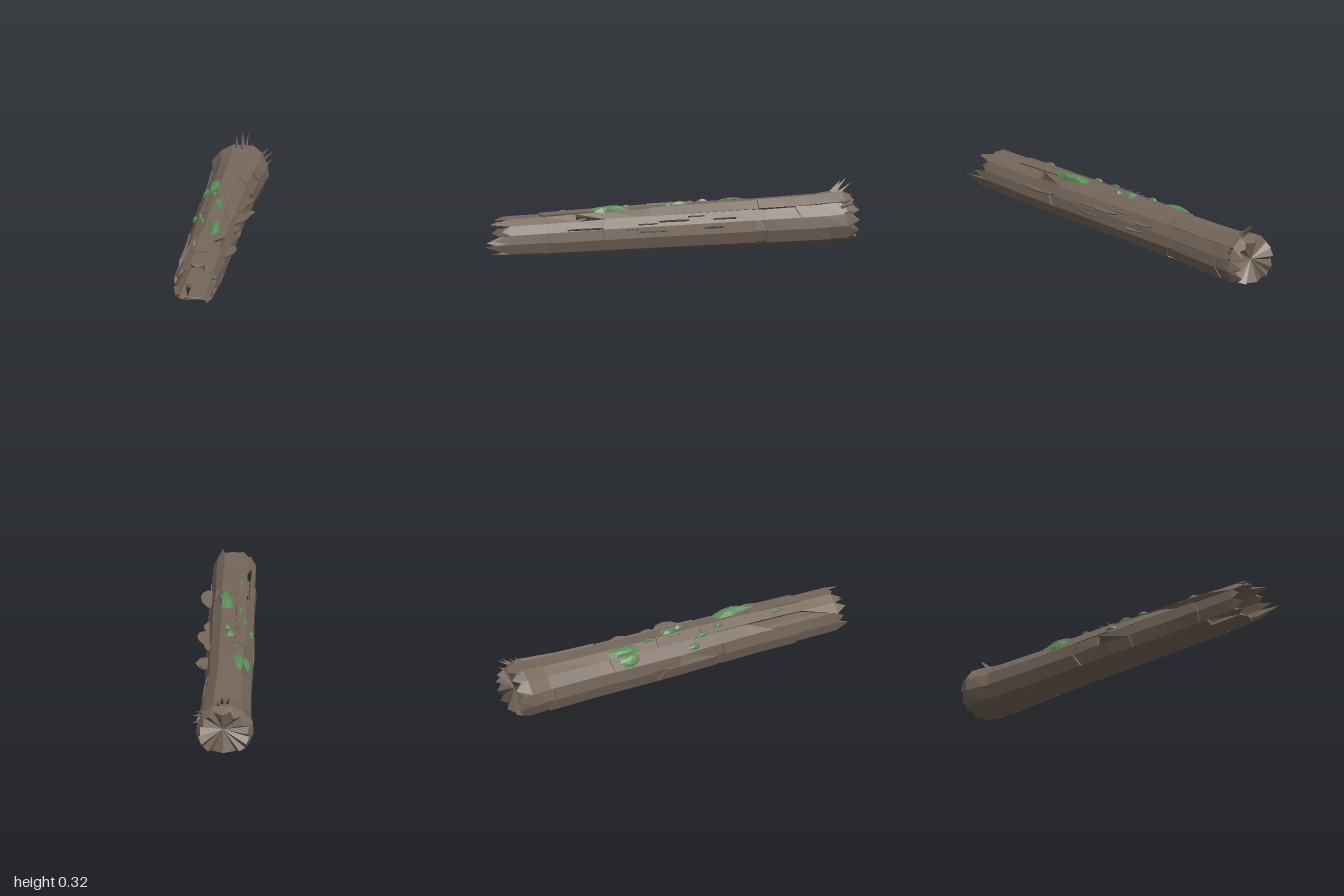
import * as THREE from 'three';

// Normalised log cross-section: u across (-1..1), v up (0..1), counter-clockwise from the front
const PROFILE = [[-.83, .08], [-.46, 0], [.46, 0], [.83, .1], [1, .36], [.95, .6],
  [.76, .83], [.42, .99], [-.25, 1], [-.66, .87], [-.97, .63], [-1, .36]];
const N = PROFILE.length;
// Stations along the log: z, left x, right x, height
const STATIONS = [[-1, -.14, .125, .235], [-.93, -.162, .135, .253], [-.8, -.142, .118, .236], [-.5, -.132, .1, .226],
  [0, -.135, .1, .217], [.4, -.122, .098, .21], [.67, -.125, .1, .2], [1, -.128, .1, .193]];
const ROWS = [-.92, -.8, -.5, -.25, -.05, .15, .35, .5, .67, .86];

// Point on the log: a = position round the section, z = along, off = distance off the surface
function at(a, z, off = 0) {
  a = ((a % N) + N) % N;
  let i = 0;
  while (i < STATIONS.length - 2 && z > STATIONS[i + 1][0]) i++;
  const s = STATIONS[i], e = STATIONS[i + 1];
  const t = THREE.MathUtils.clamp((z - s[0]) / (e[0] - s[0]), 0, 1);
  const [l, r, h] = [1, 2, 3].map(k => s[k] + (e[k] - s[k]) * t);
  const p = PROFILE[Math.floor(a)], q = PROFILE[(Math.floor(a) + 1) % N], f = a % 1;
  const cx = (l + r) / 2;
  const x = cx + (p[0] + (q[0] - p[0]) * f) * (r - l) / 2;
  const y = (p[1] + (q[1] - p[1]) * f) * h;
  const d = new THREE.Vector2(x - cx, y - h / 2).normalize().multiplyScalar(off);
  return new THREE.Vector3(x + d.x, Math.max(0, y + d.y), z);
}

const noise = n => { const s = Math.sin(n * 127.1) * 43758.5; return s - Math.floor(s); };

// Collects triangles and quads into one faceted mesh
class Faces {
  constructor() { this.p = []; }
  tri(...v) { v.forEach(q => this.p.push(q.x, q.y, q.z)); }
  quad(a, b, c, d) { this.tri(a, b, c); this.tri(a, c, d); }
  mesh(name, material) {
    const g = new THREE.BufferGeometry();
    g.setAttribute('position', new THREE.Float32BufferAttribute(this.p, 3));
    g.computeVertexNormals();
    const m = new THREE.Mesh(g, material);
    m.name = name;
    return m;
  }
}

export function createModel() {
  const log = new THREE.Group();
  log.name = 'hollowLog';
  const bark = new THREE.MeshStandardMaterial({ color: 0x76675b, flatShading: true, side: THREE.DoubleSide });
  bark.name = 'bark brown';
  const green = new THREE.MeshStandardMaterial({ color: 0x5c8c57, flatShading: true, side: THREE.DoubleSide });
  green.name = 'moss green';

  // Hollow trunk: outer and inner walls; missing triangles are rot holes (1 first, 2 second, 3 both)
  const holes = { '9,6': 2, '9,7': 3, '9,8': 1, '10,4': 1, '10,5': 2, '5,5': 1, '6,6': 2, '0,8': 1 };
  const trunk = new Faces(), edges = new Map();
  const outer = (k, r) => at(k, ROWS[r], (noise((k % N) + r * 13) - .5) * .006);
  const inner = (k, r) => at(k, ROWS[r], -.02);
  for (let k = 0; k < N; k++) {
    for (let r = 0; r < ROWS.length - 1; r++) {
      const corners = [[k, r], [k + 1, r], [k + 1, r + 1], [k, r + 1]];
      [[0, 1, 2], [0, 2, 3]].forEach((ids, n) => {
        const t = ids.map(i => corners[i]);
        if ((holes[`${k},${r}`] || 0) & (n + 1)) {
          t.forEach((c, i) => {
            const e = [c, t[(i + 1) % 3]], key = e.map(v => v.join()).sort().join('|');
            if (edges.has(key)) edges.delete(key); else edges.set(key, e);
          });
        } else {
          trunk.tri(...t.map(c => outer(...c)));
          trunk.tri(...t.map(c => inner(...c)).reverse());
        }
      });
    }
  }
  // Wall thickness round the holes
  for (const [p, q] of edges.values()) trunk.quad(outer(...p), outer(...q), inner(...q), inner(...p));
  log.add(trunk.mesh('trunk', bark));

  // Jagged teeth at the broken front
  const teeth = new Faces(), last = ROWS.length - 1;
  const tips = [.9, .87, .95, 1, .95, .9, .95, .89, .91, .92, .9, .93];
  tips.forEach((z, k) => {
    const tip = at(k + (k === 3 ? .8 : .5), z, -.01);
    const [a, b, c, d] = [outer(k, last), outer(k + 1, last), inner(k + 1, last), inner(k, last)];
    teeth.tri(a, b, tip); teeth.tri(c, d, tip); teeth.tri(b, c, tip); teeth.tri(d, a, tip);
  });
  log.add(teeth.mesh('frontTeeth', bark));

  // Broken back end: notched rim and a ridged fan closing the trunk
  const back = new Faces(), hub = new THREE.Vector3(-.005, .128, -.945);
  for (let k = 0; k < N; k++) {
    const v0 = at(k, -.955, -.012), v1 = at(k + 1, -.955, -.012);
    const tip = at(k + .5, -1 + noise(k + 4) * .025, -.012);
    const o0 = outer(k, 0), o1 = outer(k + 1, 0);
    back.tri(o1, o0, tip); back.tri(o0, v0, tip); back.tri(v1, o1, tip);
    back.tri(v0, hub, tip); back.tri(tip, hub, v1);
  }
  log.add(back.mesh('brokenBack', bark));

  // Raised bark plates: [a start, columns, z start, z end, lift at start, lift at end]
  const plates = [
    [2, 2, -.45, .66, .005, .005], [4, 1, .38, .66, .007, .005], [4, 2, -.45, .36, .005, .006],
    [5, 1, -.9, -.66, .008, .008], [6, 1, -.9, -.48, .01, .012], [3, 2, -.82, -.48, .006, .008],
    [7, 1, .38, .66, .006, .006], [6, 1, -.46, .12, .008, .006], [8, 1, .1, .45, .006, .005],
    [9, 1, -.45, .02, .006, .008], [10, 2, .2, .62, .007, .009], [10, 2, -.8, -.2, .006, .008],
    [11, 1, -.15, .17, .008, .006], [8, 1, -.14, .08, .007, .01]
  ];
  plates.forEach(([a0, cols, z0, z1, l0, l1], n) => {
    const f = new Faces();
    const pt = (i, j, on) => {
      const skew = (noise(n * 7 + i * 3 + j) - .5) * .05 * (j === 1 ? 0 : 1);
      const z = z0 + (z1 - z0) * j / 2 + skew;
      return at(a0 + i, z, on ? l0 + (l1 - l0) * j / 2 : -.006);
    };
    for (let i = 0; i < cols; i++) {
      for (let j = 0; j < 2; j++) f.quad(pt(i, j, 1), pt(i + 1, j, 1), pt(i + 1, j + 1, 1), pt(i, j + 1, 1));
      f.quad(pt(i, 0, 0), pt(i + 1, 0, 0), pt(i + 1, 0, 1), pt(i, 0, 1));
      f.quad(pt(i + 1, 2, 0), pt(i, 2, 0), pt(i, 2, 1), pt(i + 1, 2, 1));
    }
    for (let j = 0; j < 2; j++) {
      f.quad(pt(0, j, 0), pt(0, j, 1), pt(0, j + 1, 1), pt(0, j + 1, 0));
      f.quad(pt(cols, j, 1), pt(cols, j, 0), pt(cols, j + 1, 0), pt(cols, j + 1, 1));
    }
    log.add(f.mesh('barkPlate', bark));
  });

  // Splinters: three-sided spikes from base to tip
  const splinter = (base, tip, radius) => {
    const b = new THREE.Vector3(...base), d = new THREE.Vector3(...tip).sub(b);
    const m = new THREE.Mesh(new THREE.ConeGeometry(radius, d.length(), 3), bark);
    m.name = 'splinter';
    m.position.copy(b).addScaledVector(d, .5);
    m.quaternion.setFromUnitVectors(new THREE.Vector3(0, 1, 0), d.normalize());
    log.add(m);
  };
  splinter([-.025, .24, -.88], [-.035, .3, -.93], .014);
  splinter([.003, .24, -.88], [-.004, .316, -.95], .015);
  splinter([.02, .24, -.9], [.022, .296, -.97], .01);
  splinter([.09, .195, -.9], [.13, .23, -.95], .014);
  splinter([.1, .18, -.89], [.155, .212, -.965], .012);
  splinter([.115, .15, -.9], [.15, .17, -.96], .01);
  // Small upright chips along the top
  for (let i = 0; i < 4; i++) {
    const z = -.16 + i * .05, b = at(7.7 + noise(i) * .6, z, -.003);
    splinter(b.toArray(), [b.x - .02, b.y + .018, z - .03], .008);
  }

  // Shelf fungus: thin half-buried discs [z, y, reach x, half length]
  const shelves = [[.46, .128, .15, .1], [-.01, .15, .155, .085], [.1, .1, .125, .09], [-.22, .105, .158, .055],
    [-.28, .15, .145, .065], [.21, .115, .112, .05], [.13, .14, .125, .055], [-.13, .17, .115, .045]];
  shelves.forEach(([z, y, reach, half]) => {
    const m = new THREE.Mesh(new THREE.CylinderGeometry(1, .92, .006, 12), bark);
    m.name = 'shelfFungus';
    m.scale.set(reach - .085, 1, half);
    m.position.set(.085, y, z);
    m.rotation.z = .25;
    log.add(m);
  });

  // Moss: ragged domed patches [a, z, half width round, half length, height]
  const patches = [[8.6, -.36, .65, .1, .014], [9.4, -.33, .6, .07, .012], [7.25, .31, .6, .12, .02],
    [7.6, -.07, .3, .05, .012], [8.4, .2, .22, .035, .012], [8.4, .54, .16, .04, .01],
    [7.4, .0, .2, .03, .012], [8.8, .1, .25, .04, .01], [8.1, -.2, .15, .04, .01], [9.6, .03, .25, .05, .01]];
  patches.forEach(([a, z, ra, rz, h], n) => {
    const f = new Faces(), sides = 9;
    const pt = (i, s) => {
      const th = (i % sides) / sides * Math.PI * 2;
      const r = s * (.6 + .55 * noise(n * 11 + (i % sides)));
      return at(a + Math.cos(th) * ra * r, z + Math.sin(th) * rz * r, s < 1 ? h * .8 + .006 : .004);
    };
    const top = at(a, z, h + .008);
    for (let i = 0; i < sides; i++) {
      f.tri(top, pt(i, .5), pt(i + 1, .5));
      f.quad(pt(i, .5), pt(i, 1), pt(i + 1, 1), pt(i + 1, .5));
    }
    log.add(f.mesh('moss', green));
  });
  return log;
}
